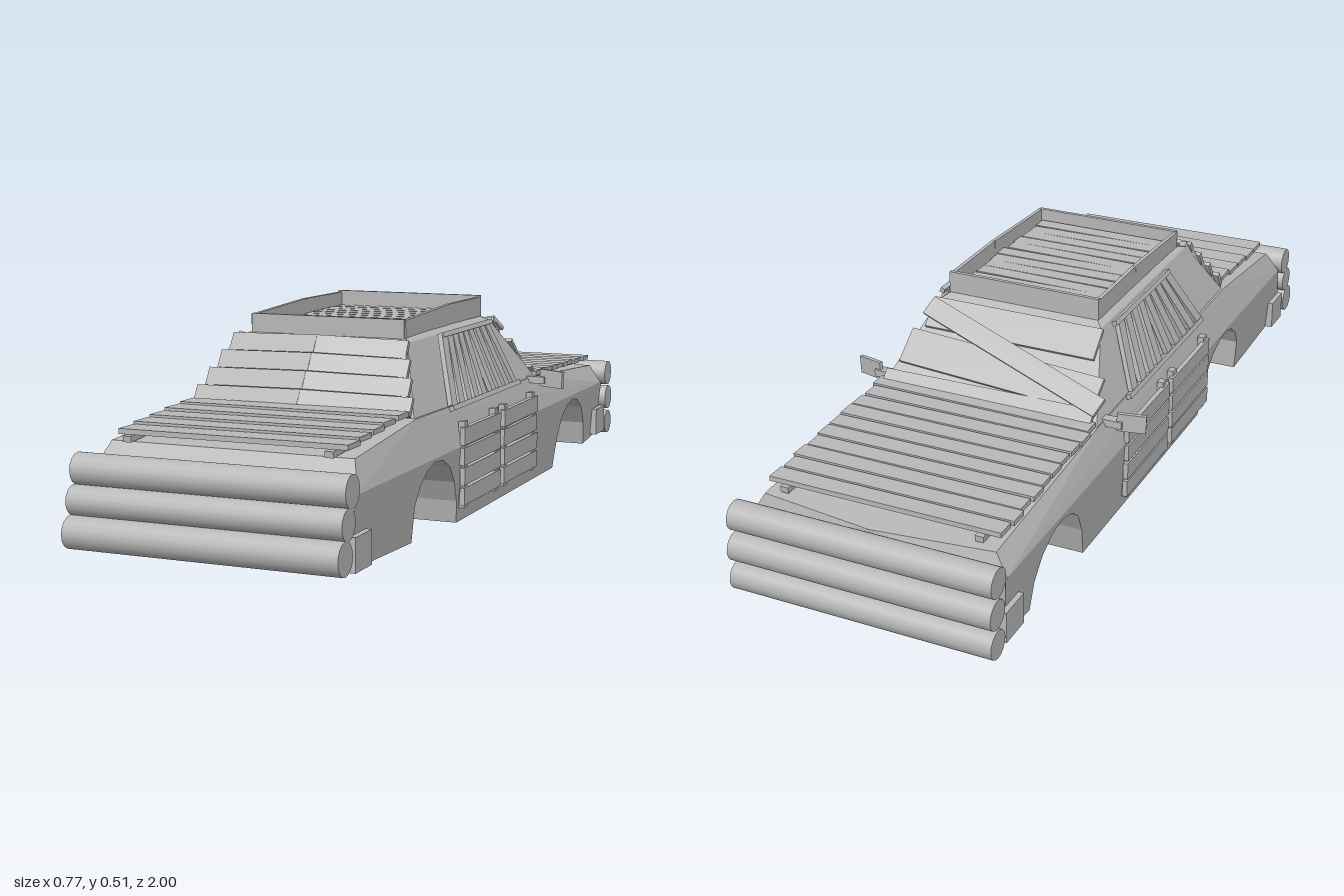
import * as THREE from 'three';
import { ConvexGeometry } from 'three/addons/geometries/ConvexGeometry.js';

export function createModel() {
  const car = new THREE.Group();
  car.name = 'plankArmouredCar';
  const grey = new THREE.MeshStandardMaterial({ color: 0xb8b8b8 });
  grey.name = 'plain grey';
  const V = (x, y, z) => new THREE.Vector3(x, y, z);

  const add = (name, geometry, parent = car) => {
    const m = new THREE.Mesh(geometry, grey);
    m.name = name;
    parent.add(m);
    return m;
  };
  const group = (name) => {
    const g = new THREE.Group();
    g.name = name;
    car.add(g);
    return g;
  };
  // A board from a to b, lying flat against the given normal
  const board = (name, a, b, width, thick, normal, parent) => {
    const along = b.clone().sub(a);
    const len = along.length();
    along.normalize();
    const side = new THREE.Vector3().crossVectors(along, normal).normalize();
    const up = new THREE.Vector3().crossVectors(side, along);
    const g = new THREE.BoxGeometry(len, thick, width);
    g.applyMatrix4(new THREE.Matrix4().makeBasis(along, up, side));
    g.translate((a.x + b.x) / 2, (a.y + b.y) / 2, (a.z + b.z) / 2);
    return add(name, g, parent);
  };
  let seed = 7;
  const jitter = (s) => {
    seed = (seed * 16807) % 2147483647;
    return (seed / 2147483647 - 0.5) * 2 * s;
  };
  // Hull through points mirrored across x
  const hull = (name, pts) =>
    add(name, new ConvexGeometry(pts.flatMap(([x, y, z]) => [V(x, y, z), V(-x, y, z)])));

  // Lower body: centre floor plus side panels with wheel arches
  const slab = (outline, x0, x1) => {
    const s = new THREE.Shape(outline.map(([z, y]) => new THREE.Vector2(z, y)));
    const g = new THREE.ExtrudeGeometry(s, { depth: x1 - x0, bevelEnabled: false });
    g.rotateY(-Math.PI / 2).translate(x1, 0, 0);
    const p = g.attributes.position;
    for (let i = 0; i < p.count; i++) {
      if (Math.abs(p.getX(i)) > 0.2) p.setX(i, Math.sign(p.getX(i)) * (0.3 + p.getY(i) * 0.075));
    }
    g.computeVertexNormals();
    return g;
  };
  const tail = [[-0.89, 0.05], [-0.91, 0.2], [0.885, 0.2], [0.91, 0.12], [0.89, 0.05], [0.84, 0.04]];
  const rearArch = [[0.56, 0.028], [0.555, 0.11], [0.53, 0.15], [0.49, 0.18], [0.45, 0.192],
    [0.4, 0.188], [0.35, 0.165], [0.31, 0.12], [0.285, 0.07], [0.275, 0.015]];
  const frontArch = [[-0.48, 0.015], [-0.5, 0.09], [-0.53, 0.145], [-0.57, 0.175], [-0.62, 0.188],
    [-0.67, 0.18], [-0.72, 0.15], [-0.755, 0.1], [-0.77, 0.035]];
  add('floor', slab([...tail, [0.43, 0], [0.275, 0.015], [-0.48, 0.015], [-0.61, 0.01], [-0.77, 0.035]], -0.15, 0.15));
  const panel = [...tail, ...rearArch, ...frontArch];
  add('leftSidePanel', slab(panel, 0.15, 0.3));
  add('rightSidePanel', slab(panel, -0.3, -0.15));

  // Upper body with sloping shoulders, and the cabin
  hull('upperBody', [[0.315, 0.2, 0.885], [0.315, 0.2, -0.9], [0.29, 0.265, 0.84], [0.285, 0.295, 0.49],
    [0.285, 0.285, -0.36], [0.285, 0.25, -0.89], [0, 0.25, -0.925], [0, 0.2, -0.925]]);
  hull('cabin', [[0.285, 0.28, 0.5], [0.285, 0.28, -0.37], [0.215, 0.45, 0.37], [0.215, 0.45, -0.19],
    [0.19, 0.462, 0.33], [0.19, 0.465, -0.16], [0.19, 0.468, 0.1]]);

  // Bumpers wrapping round both ends
  for (const [name, y, z] of [['rearBumper', 0.08, 0.87], ['frontBumper', 0.09, -0.88]]) {
    add(name, new THREE.BoxGeometry(0.645, 0.075, 0.085).translate(0, y, z));
  }

  // Stacked logs on both ends
  const logs = group('logBumpers');
  for (const [y, z, r] of [[0.215, 0.925, 0.036], [0.15, 0.945, 0.034], [0.083, 0.962, 0.037],
    [0.222, -0.955, 0.035], [0.148, -0.962, 0.035], [0.074, -0.962, 0.034]]) {
    const g = new THREE.CylinderGeometry(r, r, 0.645, 16).rotateZ(Math.PI / 2).translate(0, y, z);
    add('log', g, logs);
  }

  // Planks across hood, trunk and roof
  const deck = (name, n, z0, z1, y0, y1, half, cover) => {
    const g = group(name);
    const step = (z1 - z0) / n;
    for (let i = 0; i < n; i++) {
      const t = (i + 0.5) / n;
      const z = z0 + step * (i + 0.5), y = y0 + (y1 - y0) * t;
      const j = jitter(0.003), e = jitter(0.006);
      board('plank', V(-half + e, y, z + j), V(half + e, y, z - j), Math.abs(step) * cover, 0.012, V(0, 1, 0), g);
    }
    return g;
  };
  const hood = deck('hoodPlanks', 10, -0.36, -0.87, 0.293, 0.276, 0.285, 0.93);
  const trunk = deck('trunkPlanks', 5, 0.51, 0.85, 0.311, 0.285, 0.272, 0.94);
  deck('roofPlanks', 11, -0.15, 0.33, 0.472, 0.468, 0.185, 0.92);
  for (const x of [-0.24, 0.24]) {
    board('batten', V(x, 0.284, -0.37), V(x, 0.264, -0.88), 0.02, 0.014, V(0, 1, 0), hood);
    board('batten', V(x, 0.3, 0.51), V(x, 0.273, 0.86), 0.02, 0.014, V(0, 1, 0), trunk);
  }

  // Roof rack boards
  const rack = group('roofRack');
  for (const s of [-1, 1]) {
    const n = V(s, 0, 0), x = s * 0.195;
    board('rackSide', V(x, 0.474, 0.345), V(x, 0.487, 0.06), 0.05, 0.01, n, rack);
    board('rackSide', V(x, 0.487, 0.06), V(x, 0.486, -0.165), 0.05, 0.01, n, rack);
  }
  board('rackEnd', V(-0.197, 0.476, 0.345), V(0.197, 0.476, 0.345), 0.05, 0.01, V(0, 0, 1), rack);
  board('rackEnd', V(-0.2, 0.488, -0.165), V(0.2, 0.488, -0.165), 0.054, 0.01, V(0, 0, -1), rack);

  // Overlapping, slightly bent planks on the rear window
  const rear = group('rearWindowPlanks');
  const rearN = V(0, 0.64, 0.77);
  for (let i = 0; i < 4; i++) {
    const t = (i + 0.5) / 4;
    const y = 0.3 + 0.155 * t, z = 0.505 - 0.125 * t, w = 0.282 - 0.065 * t;
    for (const s of [-1, 1]) {
      board('plank', V(0, y + 0.005, z + 0.012), V(s * w, y, z), 0.045, 0.012, V(0, 0.5, 0.85), rear);
    }
  }
  for (const s of [-1, 1]) {
    board('batten', V(s * 0.255, 0.305, 0.495), V(s * 0.205, 0.455, 0.375), 0.02, 0.014, rearN, rear);
  }

  // Crossed boards over the windshield
  const shield = group('windshieldBoards');
  const shieldN = V(0, 0.73, -0.68);
  board('board', V(-0.225, 0.425, -0.225), V(0.225, 0.425, -0.225), 0.08, 0.01, shieldN, shield);
  board('board', V(-0.265, 0.34, -0.318), V(0.255, 0.36, -0.297), 0.09, 0.01, shieldN, shield);
  board('board', V(-0.28, 0.325, -0.345), V(0.23, 0.44, -0.222), 0.05, 0.01, shieldN, shield);
  board('board', V(-0.27, 0.305, -0.36), V(0.28, 0.3, -0.365), 0.04, 0.01, shieldN, shield);

  // Side armour: fanned window slats, door planks and mirrors
  for (const s of [-1, 1]) {
    const side = s > 0 ? 'left' : 'right';
    const slats = group(side + 'WindowSlats');
    const n = V(s * 0.92, 0.39, 0);
    const fan = [[0.275, 0.185], [0.225, 0.15], [0.172, 0.115], [0.12, 0.08], [0.066, 0.045],
      [-0.005, 0.008], [-0.055, -0.035], [-0.108, -0.075], [-0.165, -0.115]];
    for (const [zb, zt] of fan) {
      board('slat', V(s * 0.292, 0.29, zb), V(s * 0.23, 0.448, zt), 0.03, 0.012, n, slats);
    }
    board('rail', V(s * 0.294, 0.29, 0.29), V(s * 0.294, 0.29, -0.2), 0.012, 0.012, n, slats);
    board('rail', V(s * 0.233, 0.45, 0.2), V(s * 0.233, 0.45, -0.15), 0.012, 0.012, n, slats);

    const doors = group(side + 'DoorPlanks');
    for (const [z0, z1] of [[0.28, 0.02], [-0.005, -0.27]]) {
      for (let i = 0; i < 4; i++) {
        const y = 0.08 + i * 0.048, e = jitter(0.004);
        board('plank', V(s * 0.318, y, z0 + e), V(s * 0.318, y + jitter(0.002), z1 + e), 0.042, 0.012, V(s, 0, 0), doors);
      }
      for (const z of [z0 - 0.022, z1 + 0.022]) {
        board('batten', V(s * 0.311, 0.05, z), V(s * 0.311, 0.258, z), 0.022, 0.016, V(s, 0, 0), doors);
      }
    }

    const mirror = group(side + 'Mirror');
    board('mirrorPlate', V(s * 0.315, 0.288, -0.322), V(s * 0.382, 0.285, -0.303), 0.045, 0.01, V(0, 0, -1), mirror);
    board('mirrorArm', V(s * 0.27, 0.282, -0.318), V(s * 0.33, 0.282, -0.318), 0.025, 0.018, V(0, 1, 0), mirror);
  }
  return car;
}
